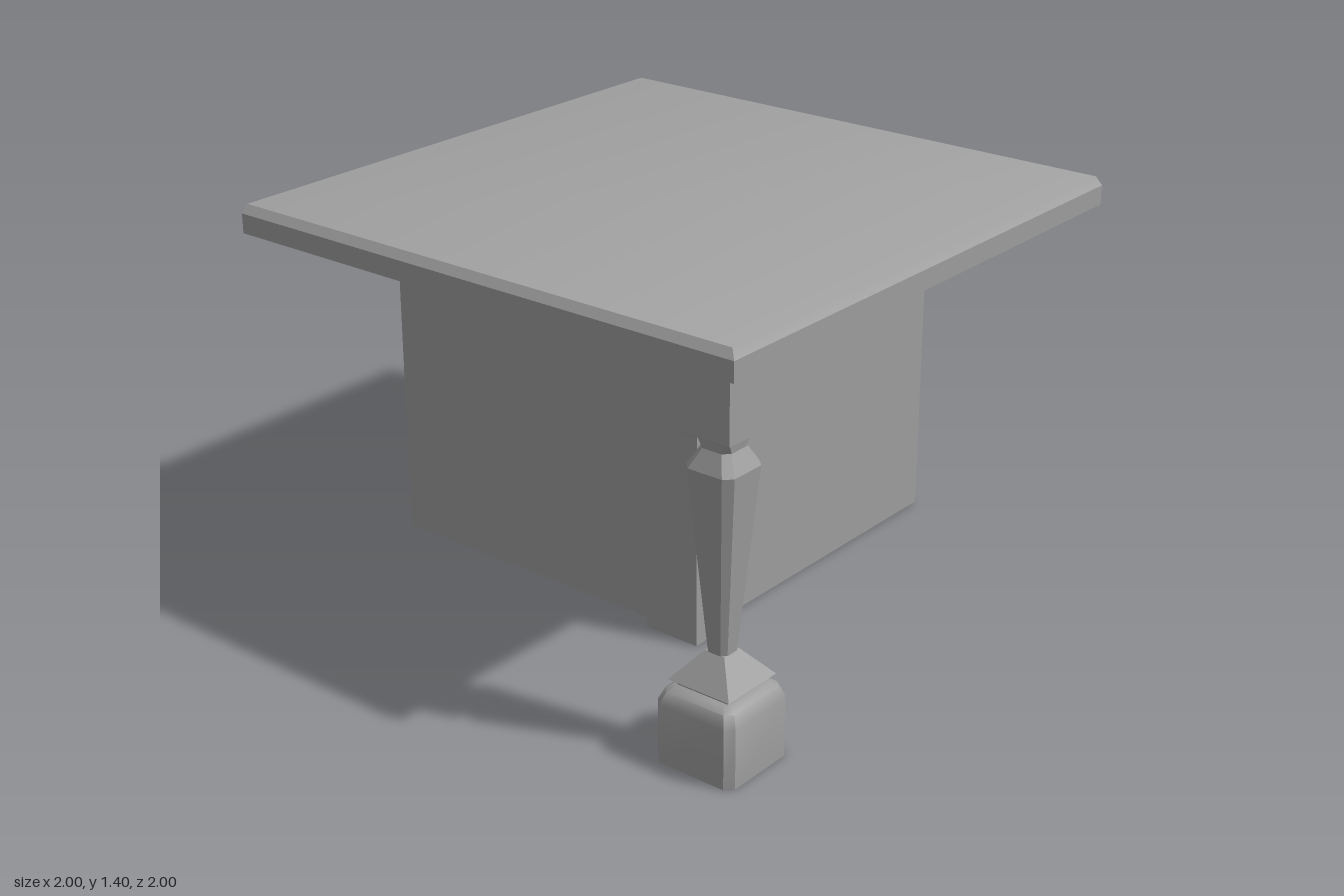
import * as THREE from 'three';
import { toCreasedNormals } from 'three/addons/utils/BufferGeometryUtils.js';

const material = new THREE.MeshStandardMaterial({ color: 0x9d9d9d });

function add(parent, name, geometry) {
  const mesh = new THREE.Mesh(geometry, material);
  mesh.name = name;
  parent.add(mesh);
}

// Box given by its minimum and maximum corners
function boxBetween(a, b) {
  const g = new THREE.BoxGeometry(b[0] - a[0], b[1] - a[1], b[2] - a[2]);
  return g.translate((a[0] + b[0]) / 2, (a[1] + b[1]) / 2, (a[2] + b[2]) / 2);
}

// Square ring of half-width h, with corners cut to half-width f where given
function ring([y, h, f]) {
  const pts = f === undefined
    ? [[h, h], [h, -h], [-h, -h], [-h, h]]
    : [[f, h], [h, f], [h, -f], [f, -h], [-f, -h], [-h, -f], [-h, f], [-f, h]];
  return pts.map(([x, z]) => new THREE.Vector3(x, y, z));
}

// Capped, flat-sided solid through rings listed from bottom to top
function loft(sections) {
  const rings = sections.map(ring);
  const n = rings[0].length;
  const pts = [];
  for (let i = 0; i + 1 < rings.length; i++) {
    const lo = rings[i], hi = rings[i + 1];
    for (let j = 0; j < n; j++) {
      const k = (j + 1) % n;
      pts.push(lo[j], hi[k], hi[j], lo[j], lo[k], hi[k]);
    }
  }
  const bottom = rings[0], top = rings[rings.length - 1];
  for (let j = 1; j + 1 < n; j++) {
    pts.push(bottom[0], bottom[j + 1], bottom[j], top[0], top[j], top[j + 1]);
  }
  const g = new THREE.BufferGeometry().setFromPoints(pts);
  g.computeVertexNormals();
  return g;
}

// Slab whose upper edge is bevelled on the front and +x sides only
function tabletopGeometry() {
  const g = new THREE.BoxGeometry(2, 2, 2, 1, 2, 1).toNonIndexed();
  const p = g.attributes.position;
  const heights = [1.305, 1.372, 1.398];
  const bevel = 0.025;
  for (let i = 0; i < p.count; i++) {
    const level = Math.round(p.getY(i)) + 1;
    p.setY(i, heights[level]);
    if (level === 2) {
      if (p.getX(i) > 0) p.setX(i, 1 - bevel);
      if (p.getZ(i) > 0) p.setZ(i, 1 - bevel);
    }
  }
  g.computeVertexNormals();

  // Shade the top smoothly into the +x bevel; the front bevel stays sharp
  const normal = g.attributes.normal;
  for (let i = 0; i < p.count; i++) {
    const onEdge = p.getX(i) > 0.9 && p.getY(i) > 1.39;
    if (onEdge && normal.getY(i) > 0.5 && Math.abs(normal.getZ(i)) < 0.1) {
      normal.setXYZ(i, 0.38, 0.925, 0);
    }
  }
  return g;
}

export function createModel() {
  const model = new THREE.Group();
  model.name = 'cornerCounter';

  add(model, 'tabletop', tabletopGeometry());

  // Solid cabinet in the back corner, with a proud post on its outer edge
  add(model, 'cabinet', boxBetween([-1, 0, -1], [0.32, 1.305, 0.32]));
  add(model, 'cornerPost', boxBetween([0.16, 0, 0.16], [0.373, 1.305, 0.373]));

  // Turned leg below the free corner
  const leg = new THREE.Group();
  leg.name = 'leg';
  leg.position.set(0.853, 0, 0.853);
  model.add(leg);

  // Foot with softly rounded shoulders and crisp cut corners
  add(leg, 'legFoot', toCreasedNormals(loft([
    [0, 0.147, 0.122], [0.2, 0.147, 0.122], [0.24, 0.13, 0.108], [0.255, 0.107, 0.09],
  ]), 0.65));
  add(leg, 'legCollar', loft([
    [0.25, 0.09], [0.26, 0.095], [0.275, 0.115], [0.368, 0.036],
  ]));
  add(leg, 'legShaft', loft([
    [0.36, 0.037, 0.022], [0.97, 0.088, 0.062], [1.03, 0.055, 0.035], [1.07, 0.06, 0.052],
  ]));
  add(leg, 'legBlock', loft([
    [1.066, 0.07], [1.077, 0.088], [1.297, 0.088],
  ]));

  return model;
}
